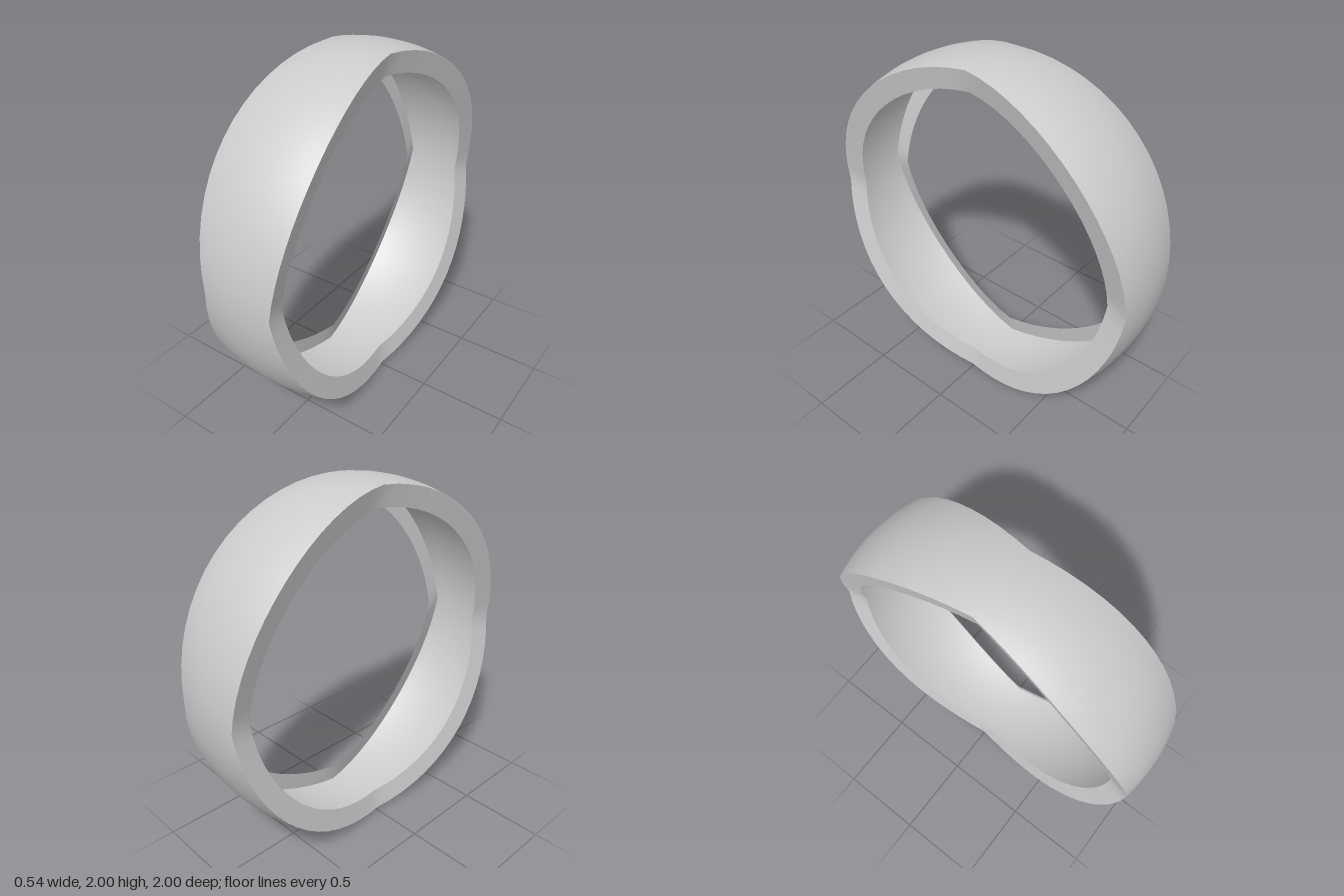
import * as THREE from 'three';

const SEGMENTS = 64; // around the ring
const ACROSS = 12; // across the band
const LIP = 0.88; // how far the lips reach in, as a share of the radius

// Half width of the band: narrow at the four quarter points, wide between them
const halfWidth = (a) => 0.2 + 0.071 * Math.abs(Math.sin(2 * a));

// Point on the unit sphere at angle a, with t from -1 to 1 across the band
function crowned(a, t) {
  const x = halfWidth(a) * t;
  const r = Math.sqrt(1 - x * x);
  return [x, r * Math.sin(a), r * Math.cos(a)];
}

// Closed strip around the ring; point(angle, v) with v from 0 to 1
function strip(name, steps, point, material) {
  const positions = [], index = [], row = steps + 1;
  for (let i = 0; i < SEGMENTS; i++) {
    const a = (i / SEGMENTS) * Math.PI * 2;
    for (let j = 0; j <= steps; j++) positions.push(...point(a, j / steps));
  }
  for (let i = 0; i < SEGMENTS; i++) {
    for (let j = 0; j < steps; j++) {
      const p = i * row + j, q = ((i + 1) % SEGMENTS) * row + j;
      index.push(p, p + 1, q, q, p + 1, q + 1);
    }
  }
  const geometry = new THREE.BufferGeometry();
  geometry.setAttribute('position', new THREE.Float32BufferAttribute(positions, 3));
  geometry.setIndex(index);
  geometry.computeVertexNormals();
  const mesh = new THREE.Mesh(geometry, material);
  mesh.name = name;
  mesh.position.y = 1;
  return mesh;
}

export function createModel() {
  const model = new THREE.Group();
  model.name = 'ring';
  const material = new THREE.MeshStandardMaterial({ color: 0xcccccc, side: THREE.DoubleSide });

  // Thin domed band, open on the inside
  model.add(strip('band', ACROSS, (a, v) => crowned(a, 2 * v - 1), material));

  // Wavy lips on both edges, pointing at the ring's centre
  const lip = (side, from, to) => (a, v) =>
    crowned(a, side).map((c) => c * (from + (to - from) * v));
  model.add(strip('leftLip', 1, lip(1, 1, LIP), material));
  model.add(strip('rightLip', 1, lip(-1, LIP, 1), material));
  return model;
}
